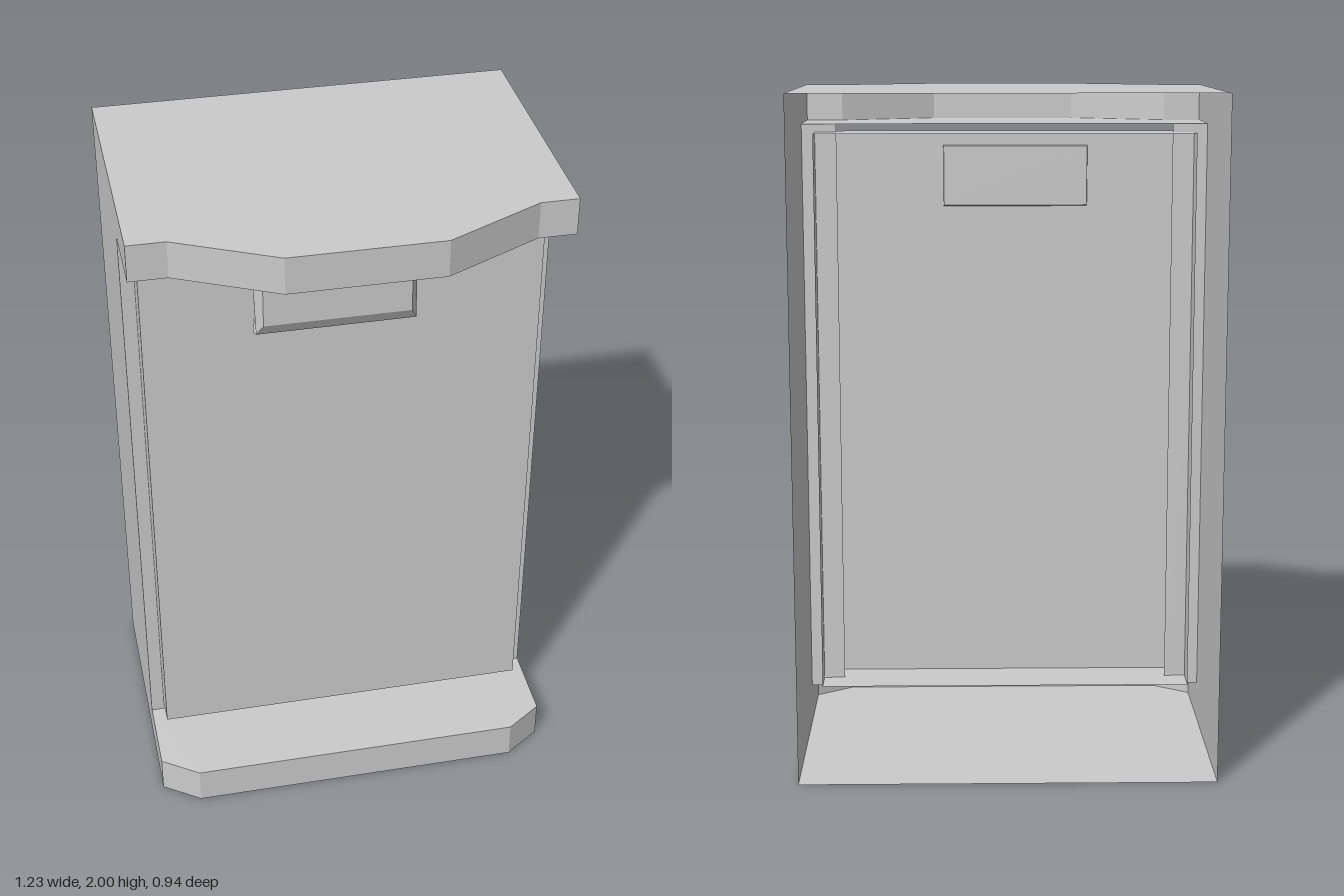
import * as THREE from 'three';

const material = new THREE.MeshStandardMaterial({ color: 0xcccccc, side: THREE.DoubleSide });

// Half widths and depths of the shell and the door
const W = 0.615, BACK = -0.47, FACE = 0.09, LIP = 0.325;
const DOOR = { w: 0.575, y0: 0.14, y1: 1.865, back: 0, front: 0.17 };

// Front outlines of the two ledges, from right to left, as [x, z]
const topEdge = [[W, LIP], [0.505, LIP], [0.22, 0.467], [-0.22, 0.467], [-0.505, LIP], [-W, LIP]];
const bottomEdge = [[W, LIP], [0.505, 0.4], [-0.505, 0.4], [-W, LIP]];

function add(parent, name, geometry) {
  const mesh = new THREE.Mesh(geometry, material);
  mesh.name = name;
  parent.add(mesh);
  return mesh;
}

const shapeOf = (points) => new THREE.Shape(points.map(([a, b]) => new THREE.Vector2(a, b)));

// Flat horizontal sheet at height y from an [x, z] outline
function sheet(points, y) {
  return new THREE.ShapeGeometry(shapeOf(points)).rotateX(Math.PI / 2).translate(0, y, 0);
}

// Upright strip that follows an [x, z] path between two heights
function wall(path, y0, y1) {
  const pos = [];
  for (let i = 0; i < path.length - 1; i++) {
    const [ax, az] = path[i], [bx, bz] = path[i + 1];
    pos.push(ax, y0, az, ax, y1, az, bx, y1, bz, ax, y0, az, bx, y1, bz, bx, y0, bz);
  }
  const geometry = new THREE.BufferGeometry();
  geometry.setAttribute('position', new THREE.Float32BufferAttribute(pos, 3));
  geometry.computeVertexNormals();
  return geometry;
}

// Ledge: outer sheet over the full depth, inner sheet in front of the face, and the rim
function addLedge(parent, name, edge, outerY, innerY) {
  const ledge = new THREE.Group();
  ledge.name = name;
  add(ledge, name + 'Panel', sheet([[-W, BACK], [W, BACK], ...edge], outerY));
  add(ledge, name + 'Shelf', sheet([[-W, FACE], [W, FACE], ...edge], innerY));
  add(ledge, name + 'Rim', wall(edge, Math.min(outerY, innerY), Math.max(outerY, innerY)));
  parent.add(ledge);
}

// Bar handle: rounded section, with ends that flare towards the top and bottom
function handleGeometry() {
  const half = [[0.165, 0.09, 0.22], [0.205, 0.117, 0.232], [0.235, 0.107, 0.228], [0.255, 0.07, 0.21]];
  const section = [...half.map(([z, y]) => [z, y]), ...half.map(([z, y]) => [z, -y]).reverse()];
  const geometry = new THREE.ExtrudeGeometry(shapeOf(section), { depth: 2, bevelEnabled: false });
  geometry.translate(0, 0, -1).rotateY(-Math.PI / 2);
  const p = geometry.attributes.position;
  for (let i = 0; i < p.count; i++) {
    const row = half.find(([z]) => Math.abs(z - p.getZ(i)) < 0.005);
    p.setX(i, Math.sign(p.getX(i)) * row[2]);
  }
  geometry.computeVertexNormals();
  return geometry;
}

export function createModel() {
  const model = new THREE.Group();
  model.name = 'cabinet';

  addLedge(model, 'top', topEdge, 2, 1.89);
  addLedge(model, 'bottom', bottomEdge, 0, 0.115);

  // Side panels with a C outline, and the narrow face strips beside the door
  const side = [[BACK, 0], [LIP, 0], [LIP, 0.115], [FACE, 0.115], [FACE, 1.89], [LIP, 1.89], [LIP, 2], [BACK, 2]];
  for (const [s, name] of [[1, 'left'], [-1, 'right']]) {
    add(model, name + 'Side', new THREE.ShapeGeometry(shapeOf(side)).rotateY(-Math.PI / 2).translate(s * W, 0, 0));
    const strip = s > 0 ? [[W, FACE], [0.51, FACE]] : [[-0.51, FACE], [-W, FACE]];
    add(model, name + 'FaceStrip', wall(strip, 0.115, 1.89));
  }

  // Door: a shallow tray, open at the back
  const door = new THREE.Group();
  door.name = 'door';
  const { w, y0, y1, back, front } = DOOR;
  add(door, 'doorPanel', wall([[w, back], [w, front], [-w, front], [-w, back]], y0, y1));
  for (const [name, y] of [['doorTopRim', y1], ['doorBottomRim', y0]]) {
    add(door, name, sheet([[-w, back], [w, back], [w, front], [-w, front]], y));
  }
  add(door, 'handle', handleGeometry()).position.set(-0.034, 1.728, 0);
  model.add(door);

  return model;
}
